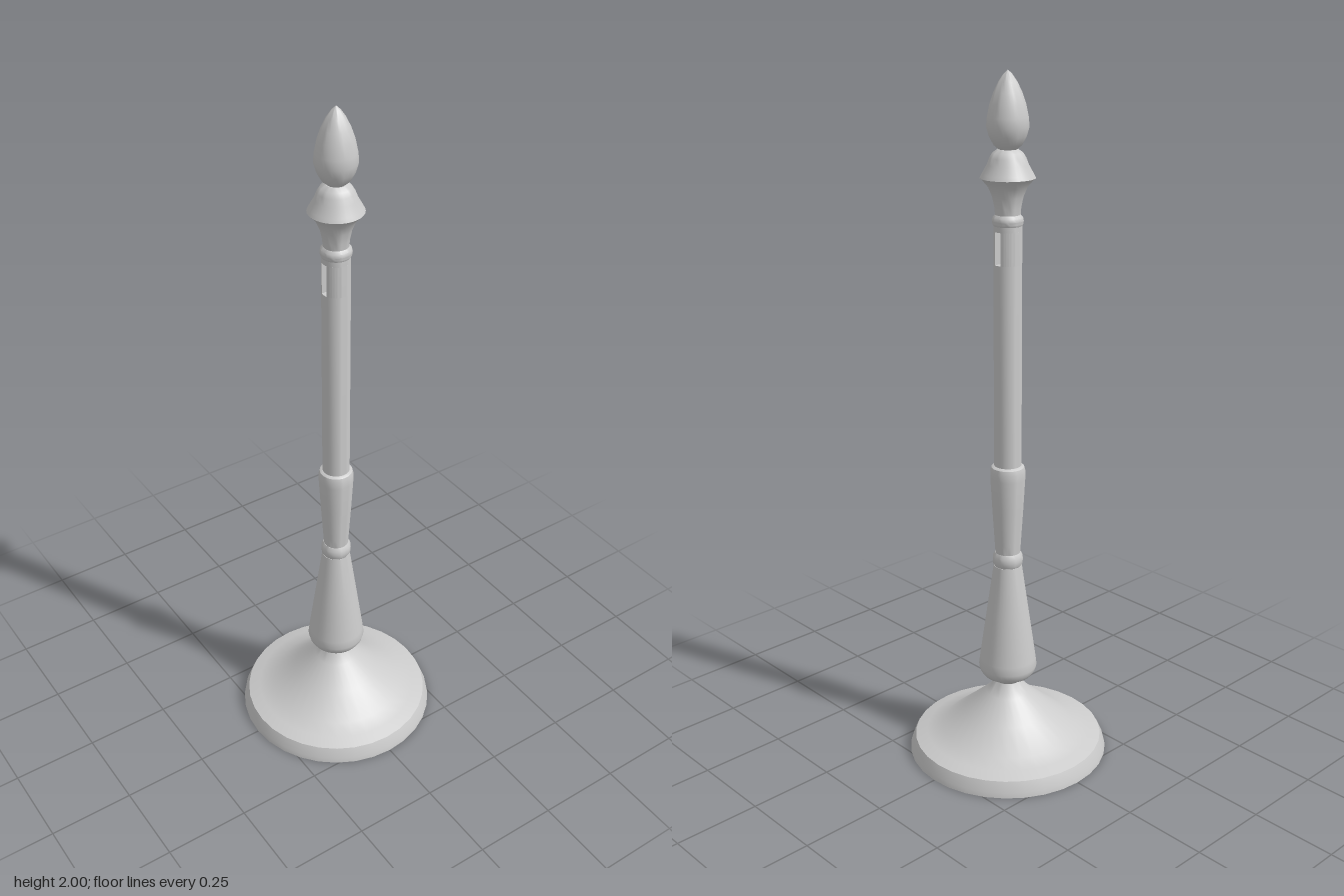
import * as THREE from 'three';
import { toCreasedNormals } from 'three/addons/utils/BufferGeometryUtils.js';

const SIDES = 32;
const POLE_R = 0.039;

export function createModel() {
  const group = new THREE.Group();
  const solid = new THREE.MeshStandardMaterial({ color: 0xcccccc });
  const shell = new THREE.MeshStandardMaterial({ color: 0xcccccc, side: THREE.DoubleSide });

  const add = (name, geometry, material = solid) => {
    const mesh = new THREE.Mesh(toCreasedNormals(geometry, 0.6), material);
    mesh.name = name;
    group.add(mesh);
  };
  // Turned part from [radius, height] pairs, bottom to top
  const turn = (name, profile, material) => add(name, new THREE.LatheGeometry(
    profile.map(([r, y]) => new THREE.Vector2(r, y)), SIDES), material);

  // Hollow flared foot, open underneath
  turn('base', [[0.296, 0], [0.293, 0.015], [0.28, 0.045], [0.245, 0.057], [0.2, 0.072],
    [0.13, 0.13], [0.065, 0.187], [0.048, 0.207], [0.038, 0.225]], shell);

  // Lower stem: rounded bottom tapering up to a ring
  turn('lowerStem', [[0, 0.222], [0.036, 0.222], [0.05, 0.233], [0.073, 0.247], [0.082, 0.26],
    [0.086, 0.275], [0.083, 0.3], [0.062, 0.45], [0.041, 0.6], [0, 0.6]]);
  turn('lowerRing', [[0, 0.597], [0.038, 0.597], [0.043, 0.606], [0.044, 0.618],
    [0.043, 0.63], [0.037, 0.641], [0, 0.641]]);

  // Middle stem widening upward into a soft shoulder
  turn('middleStem', [[0, 0.638], [0.036, 0.638], [0.038, 0.67], [0.045, 0.78], [0.05, 0.87],
    [0.05, 0.893], [0.047, 0.905], [0.039, 0.91], [0, 0.91]]);

  // Pole, with a slot running through it from side to side
  const slotLow = 1.49, slotHigh = 1.58, slotHalf = 0.011;
  turn('poleLower', [[POLE_R, 0.9], [POLE_R, slotLow], [0, slotLow]]);
  turn('poleUpper', [[0, slotHigh], [POLE_R, slotHigh], [POLE_R, 1.6]]);
  const a = Math.asin(slotHalf / POLE_R);
  for (const [name, start] of [['slotCheekBack', a], ['slotCheekFront', Math.PI + a]]) {
    const cheek = new THREE.Shape();
    cheek.absarc(0, 0, POLE_R, start, start + Math.PI - 2 * a, false);
    cheek.closePath();
    const g = new THREE.ExtrudeGeometry(cheek,
      { depth: slotHigh - slotLow, bevelEnabled: false, curveSegments: 14 });
    add(name, g.rotateX(-Math.PI / 2).translate(0, slotLow, 0));
  }

  // Upper ring and flared collar with a domed cap
  turn('upperRing', [[0, 1.593], [0.038, 1.593], [0.042, 1.6], [0.043, 1.608],
    [0.041, 1.617], [0.034, 1.625], [0, 1.625]]);
  turn('collar', [[0.034, 1.62], [0.036, 1.643], [0.042, 1.672], [0.053, 1.698],
    [0.068, 1.716], [0.075, 1.722], [0.07, 1.732], [0.056, 1.757], [0.049, 1.775],
    [0.041, 1.788], [0.028, 1.797], [0, 1.797]]);

  // Pointed bud finial
  turn('finial', [[0, 1.794], [0.024, 1.796], [0.038, 1.808], [0.05, 1.83], [0.057, 1.855],
    [0.055, 1.88], [0.048, 1.914], [0.038, 1.943], [0.025, 1.97], [0.012, 1.989], [0, 2]]);

  return group;
}
